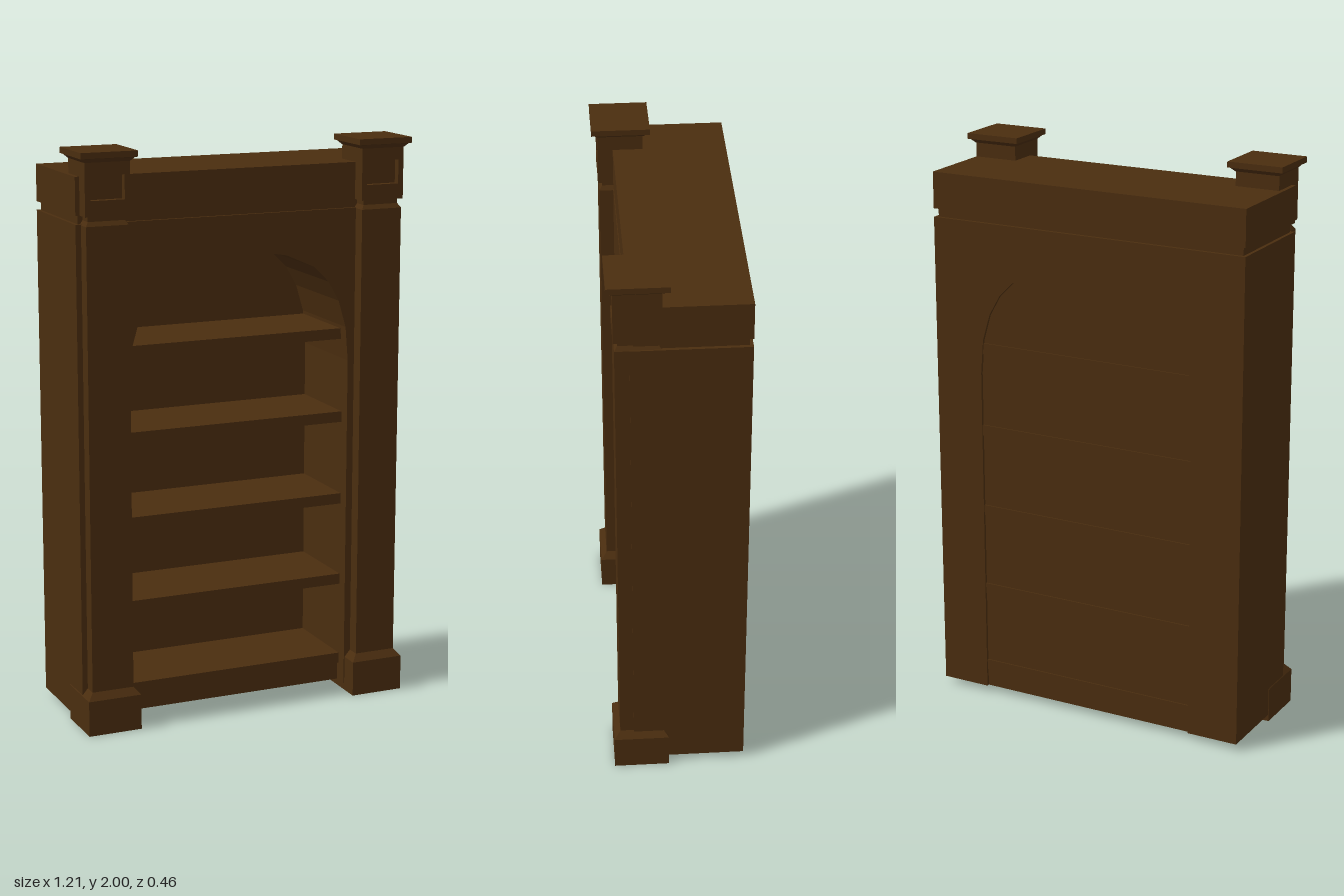
import * as THREE from 'three';

export function createModel() {
  const group = new THREE.Group();
  group.name = 'bookcase';
  const wood = new THREE.MeshStandardMaterial({ color: 0x4a2d0f });
  wood.name = 'dark wood';

  const add = (name, geometry, parent = group) => {
    const mesh = new THREE.Mesh(geometry, wood);
    mesh.name = name;
    parent.add(mesh);
    return mesh;
  };
  // box given by its limits on each axis
  const box = (name, x0, x1, y0, y1, z0, z1, parent) => {
    const mesh = add(name, new THREE.BoxGeometry(x1 - x0, y1 - y0, z1 - z0), parent);
    mesh.position.set((x0 + x1) / 2, (y0 + y1) / 2, (z0 + z1) / 2);
    return mesh;
  };
  // square turned profile: pairs of [half width, height], with crisp edges
  const squareProfile = (pairs) => {
    const points = pairs.map(([w, y]) => new THREE.Vector2(w * Math.SQRT2, y));
    const flat = new THREE.LatheGeometry(points, 4, Math.PI / 4).toNonIndexed();
    flat.computeVertexNormals();
    return flat;
  };

  const L = -0.598, R = 0.583, BACK = -0.232, FRONT = 0.157, BOTTOM = 0.025;
  const openX = -0.003;

  // half of the arched opening, from the springing to the crown
  const arch = [[0.408, 1.22], [0.398, 1.34], [0.37, 1.435], [0.33, 1.505],
    [0.275, 1.56], [0.17, 1.607], [0.08, 1.623], [0, 1.63]];
  const leftToRight = [
    ...arch.map(([x, y]) => [-x, y]),
    ...arch.slice(0, -1).reverse(),
  ].map(([x, y]) => new THREE.Vector2(x + openX, y));
  const openingPath = [
    new THREE.Vector2(openX - 0.408, BOTTOM),
    ...leftToRight,
    new THREE.Vector2(openX + 0.408, BOTTOM),
  ];

  // carcass with the arched opening cut through
  const carcass = new THREE.Shape([
    new THREE.Vector2(L, BOTTOM),
    ...openingPath,
    new THREE.Vector2(R, BOTTOM),
    new THREE.Vector2(R, 1.757),
    new THREE.Vector2(L, 1.757),
  ]);
  add('carcass', new THREE.ExtrudeGeometry(carcass, { depth: FRONT - BACK, bevelEnabled: false }))
    .position.z = BACK;

  // back panel set slightly into the opening
  add('backPanel', new THREE.ExtrudeGeometry(new THREE.Shape(openingPath), { depth: 0.034, bevelEnabled: false }))
    .position.z = -0.222;

  // shelves and the plinth below them
  for (let i = 0; i < 5; i++) {
    const y = 0.09 + i * 0.3;
    const half = i === 4 ? 0.402 : 0.41;
    box('shelf', openX - half, openX + half, y, y + 0.038, -0.227, 0.115);
  }
  box('plinth', openX - 0.41, openX + 0.41, BOTTOM, 0.092, -0.222, 0.105);

  // recessed neck and cornice
  box('neck', L + 0.012, R - 0.012, 1.75, 1.79, BACK + 0.012, FRONT - 0.012);
  box('cornice', L, R, 1.787, 1.915, BACK, FRONT);

  // front pilasters
  const blockFace = new THREE.Shape([[-0.079, 1.787], [0.079, 1.787], [0.079, 1.968], [-0.079, 1.968]]
    .map(([x, y]) => new THREE.Vector2(x, y)));
  blockFace.holes.push(new THREE.Path([[-0.06, 1.84], [-0.06, 1.922], [0.06, 1.922], [0.06, 1.84]]
    .map(([x, y]) => new THREE.Vector2(x, y))));

  for (const side of [1, -1]) {
    const pilaster = new THREE.Group();
    pilaster.name = side > 0 ? 'leftPilaster' : 'rightPilaster';
    pilaster.position.set(side * 0.504, 0, 0.13);
    group.add(pilaster);
    // base, shaft and neck
    add('shaft', squareProfile([[0, 0], [0.096, 0], [0.096, 0.125], [0.075, 0.15], [0.075, 1.755],
      [0.065, 1.77], [0.065, 1.787], [0, 1.787]]), pilaster);
    // block with a sunken square panel
    box('block', -0.079, 0.079, 1.787, 1.968, -0.076, 0.054, pilaster);
    add('blockFace', new THREE.ExtrudeGeometry(blockFace, { depth: 0.025, bevelEnabled: false }), pilaster)
      .position.z = 0.054;
    // moulded cap
    add('cap', squareProfile([[0, 1.965], [0.079, 1.965], [0.092, 1.978], [0.1, 1.98],
      [0.1, 2], [0, 2]]), pilaster);
  }
  return group;
}
